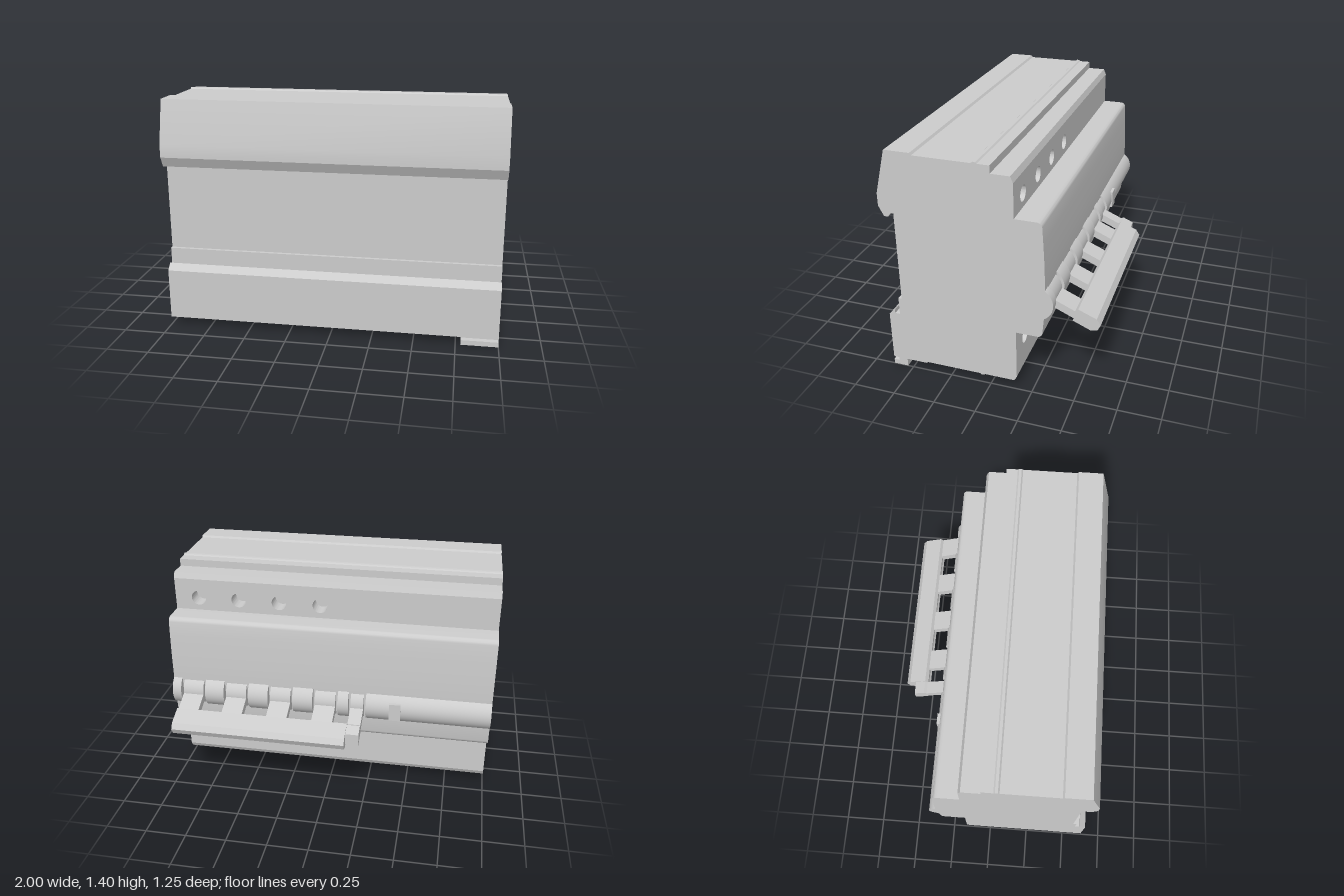
import * as THREE from 'three';
import { toCreasedNormals } from 'three/addons/utils/BufferGeometryUtils.js';

const material = new THREE.MeshStandardMaterial({ color: 0xcccccc });

function addMesh(parent, name, geometry) {
  const mesh = new THREE.Mesh(geometry, material);
  mesh.name = name;
  parent.add(mesh);
  return mesh;
}

// Side profile given as [z, y] pairs, extruded along x from x0 to x1
function extrudeX(profile, x0, x1) {
  const shape = new THREE.Shape(profile.map(([z, y]) => new THREE.Vector2(-z, y)));
  const geo = new THREE.ExtrudeGeometry(shape, { depth: x1 - x0, bevelEnabled: false });
  geo.rotateY(Math.PI / 2);
  geo.translate(x0, 0, 0);
  return toCreasedNormals(geo, 0.45);
}

// Cylinder lying along x
function drum(radius, x0, x1, z, y) {
  const geo = new THREE.CylinderGeometry(radius, radius, x1 - x0, 48);
  geo.rotateZ(Math.PI / 2);
  geo.translate((x0 + x1) / 2, y, z);
  return geo;
}

// Points on a rounded corner in the z-y plane
function arc(cz, cy, r, a0, a1, n = 6) {
  return Array.from({ length: n + 1 }, (_, i) => {
    const a = THREE.MathUtils.degToRad(a0 + ((a1 - a0) * i) / n);
    return [cz + r * Math.cos(a), cy + r * Math.sin(a)];
  });
}

export function createModel() {
  const model = new THREE.Group();
  model.name = 'circuitBreaker';

  // Housing with the rail channel at the front and the stepped nose at the back
  const housing = [
    [0.56, 1.4], [0.41, 1.4], [0.4, 1.388],
    [0.067, 1.388], [0.058, 1.397], [0.042, 1.395], [0.034, 1.388],
    [-0.035, 1.388], [-0.035, 1.343], [-0.145, 1.343], [-0.16, 1.307],
    [-0.06, 1.307], [-0.06, 1.105],
    ...arc(-0.284, 1.075, 0.03, 90, 175),
    [-0.32, 0.98], [-0.325, 0.88], [-0.328, 0.78], [-0.328, 0.7],
    [-0.323, 0.52],
    ...arc(-0.284, 0.425, 0.03, 185, 270),
    [-0.06, 0.395], [-0.06, 0.087], [-0.16, 0.087], [-0.145, 0.058],
    [0.034, 0.058], [0.042, 0.052], [0.058, 0.051], [0.067, 0.058],
    [0.4, 0.058], [0.41, 0.05], [0.625, 0.05],
    [0.625, 0.357], [0.587, 0.394], [0.587, 0.37], [0.557, 0.37],
    [0.557, 0.48], [0.536, 0.48], [0.536, 1.03], [0.553, 1.03],
    [0.57, 1.005], [0.594, 1.005], [0.625, 1.065], [0.625, 1.14],
  ];
  addMesh(model, 'housing', extrudeX(housing, -1, 1));

  // Terminal faces with a row of screw access holes
  function terminalFace(name, y0, y1, holeY) {
    const shape = new THREE.Shape([
      new THREE.Vector2(-1, y0), new THREE.Vector2(1, y0),
      new THREE.Vector2(1, y1), new THREE.Vector2(-1, y1),
    ]);
    for (let i = 0; i < 4; i++) {
      const hole = new THREE.Path();
      hole.absarc(0.85 - i * 0.257, holeY, 0.046, 0, Math.PI * 2, true);
      shape.holes.push(hole);
    }
    const geo = new THREE.ExtrudeGeometry(shape, { depth: 0.1, bevelEnabled: false, curveSegments: 24 });
    geo.translate(0, 0, -0.16);
    addMesh(model, name, toCreasedNormals(geo, 0.6));
  }
  terminalFace('upperTerminalFace', 1.105, 1.307, 1.185);
  terminalFace('lowerTerminalFace', 0.087, 0.395, 0.275);

  // Rail release tab under the front corner
  addMesh(model, 'railReleaseTab', extrudeX([
    [0.536, 0.05], [0.59, 0.05], [0.59, 0.03], [0.625, 0.03], [0.625, 0], [0.536, 0],
  ], 0.78, 1));

  // Curved ridge, interrupted where the levers come through
  const axisZ = -0.27, axisY = 0.61;
  const levers = [
    { x: 0.865, w: 0.13 }, { x: 0.585, w: 0.13 }, { x: 0.3, w: 0.13 },
    { x: 0.015, w: 0.13 }, { x: -0.185, w: 0.08 },
  ];
  let edge = 1;
  for (const { x, w } of levers) {
    const half = w / 2 + 0.014;
    addMesh(model, 'ridgeSegment', drum(0.105, x + half, edge, axisZ, axisY));
    edge = x - half;
  }
  addMesh(model, 'ridgeSegment', drum(0.105, -1, edge, axisZ, axisY));

  // Toggle: rotating drums, arms and the shared grip bar
  const toggle = new THREE.Group();
  toggle.name = 'toggle';
  model.add(toggle);
  const arm = [[-0.3, 0.635], [-0.49, 0.553], [-0.475, 0.509], [-0.3, 0.585]];
  for (const { x, w } of levers) {
    addMesh(toggle, 'leverDrum', drum(0.096, x - w / 2, x + w / 2, axisZ, axisY));
    addMesh(toggle, 'leverArm', extrudeX(arm, x - w / 2, x + w / 2));
  }
  addMesh(toggle, 'gripBar', extrudeX([
    [-0.475, 0.555], [-0.495, 0.573], [-0.6, 0.53], [-0.623, 0.495],
    [-0.605, 0.458], [-0.568, 0.451], [-0.465, 0.495], [-0.475, 0.51],
  ], -0.145, 0.93));
  addMesh(toggle, 'gripEnd', extrudeX([
    [-0.475, 0.557], [-0.497, 0.565], [-0.56, 0.538], [-0.56, 0.465], [-0.472, 0.5],
  ], -0.225, -0.145));

  // Small indicator on the ridge
  addMesh(model, 'indicator', extrudeX([
    [-0.345, 0.662], [-0.38, 0.662], [-0.38, 0.55], [-0.345, 0.55],
  ], -0.455, -0.385));

  return model;
}
